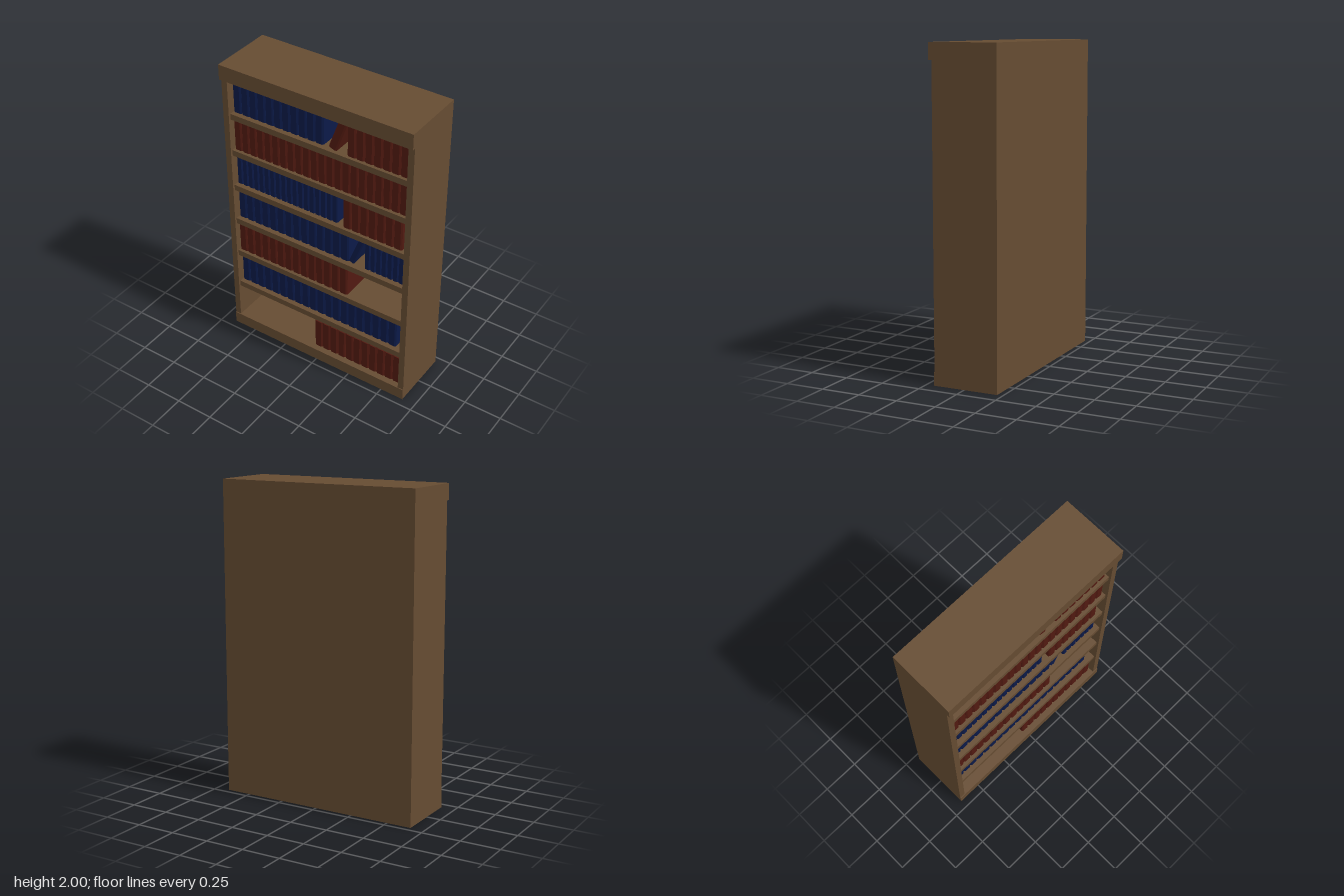
import * as THREE from 'three';

const wood = new THREE.MeshStandardMaterial({ color: 0x664c32 });
const red = new THREE.MeshStandardMaterial({ color: 0x521a11 });
const blue = new THREE.MeshStandardMaterial({ color: 0x0c1a48 });
const paper = new THREE.MeshStandardMaterial({ color: 0xcccccc });

const BOOK_H = 0.21, BOOK_D = 0.2, BOARD = 0.005;

// box given by its lower and upper corners
function board(name, x0, x1, y0, y1, z0, z1, material = wood) {
  const mesh = new THREE.Mesh(new THREE.BoxGeometry(x1 - x0, y1 - y0, z1 - z0), material);
  mesh.position.set((x0 + x1) / 2, (y0 + y1) / 2, (z0 + z1) / 2);
  mesh.name = name;
  return mesh;
}

// U-shaped cover with a chamfered spine around a page block; the spine's front is at z = 0
function makeBook(width, material) {
  const w = width / 2 - 0.0008, c = 0.008, t = BOARD;
  const outline = [
    [-w, -BOOK_D], [-w + t, -BOOK_D], [-w + t, -c - t], [w - t, -c - t], [w - t, -BOOK_D],
    [w, -BOOK_D], [w, -c], [w * 0.65, 0], [-w * 0.65, 0], [-w, -c],
  ].map(([x, z]) => new THREE.Vector2(x, -z));
  const coverGeo = new THREE.ExtrudeGeometry(new THREE.Shape(outline), { depth: BOOK_H, bevelEnabled: false });
  coverGeo.rotateX(-Math.PI / 2);
  const book = new THREE.Group();
  book.name = 'book';
  const cover = new THREE.Mesh(coverGeo, material);
  cover.name = 'cover';
  book.add(cover, board('pages', -w + t, w - t, 0.004, BOOK_H - 0.004, -BOOK_D + 0.006, -c - t, paper));
  return book;
}

function spineZ(material) {
  return material === red ? 0.16 : 0.148;
}

// upright books filling x0..x1
function bookRow(x0, x1, y, count, material) {
  const row = new THREE.Group();
  row.name = material === red ? 'redBookRow' : 'blueBookRow';
  const step = (x1 - x0) / count;
  for (let i = 0; i < count; i++) {
    const book = makeBook(step, material);
    book.position.set(x0 + (i + 0.5) * step, y, spineZ(material));
    row.add(book);
  }
  return row;
}

// book tilted about its lower corner, which rests on the shelf at x
function leaningBook(x, y, width, angle, material) {
  const pivot = new THREE.Group();
  pivot.name = 'leaningBook';
  const book = makeBook(width, material);
  book.position.x = -width / 2;
  pivot.add(book);
  pivot.position.set(x, y, spineZ(material));
  pivot.rotation.z = -angle;
  return pivot;
}

export function createModel() {
  const model = new THREE.Group();
  model.name = 'bookcase';

  // carcass
  model.add(
    board('rightSide', -0.66, -0.62, 0.08, 1.9, -0.215, 0.195),
    board('leftSide', 0.62, 0.66, 0.08, 1.9, -0.215, 0.195),
    board('back', -0.62, 0.62, 0.08, 1.9, -0.215, -0.175),
    board('base', -0.66, 0.66, 0, 0.08, -0.215, 0.2),
    board('cornice', -0.66, 0.66, 1.9, 2, -0.215, 0.215),
  );

  // shelves, 0.26 apart
  const shelfTop = (i) => (i === 0 ? 0.08 : 0.1 + 0.26 * i);
  for (let i = 1; i <= 6; i++) {
    model.add(board('shelf', -0.62, 0.62, shelfTop(i) - 0.04, shelfTop(i), -0.175, 0.18));
  }

  // rows of books: shelf, from x, to x, number of books, colour
  const rows = [
    [0, -0.037, 0.613, 11, red],
    [1, -0.62, 0.565, 20, blue],
    [2, -0.62, 0.21, 14, red],
    [3, -0.62, 0.21, 14, blue],
    [3, 0.323, 0.6, 7, blue],
    [4, -0.62, 0.13, 18, blue],
    [4, 0.175, 0.585, 7, red],
    [5, -0.616, 0.613, 22, red],
    [6, -0.62, 0.03, 11, blue],
    [6, 0.2, 0.613, 7, red],
  ];
  for (const [i, x0, x1, count, material] of rows) {
    model.add(bookRow(x0, x1, shelfTop(i), count, material));
  }

  // books leaning against their neighbours
  model.add(
    leaningBook(0.127, shelfTop(6), 0.058, 0.35, red),
    leaningBook(0.249, shelfTop(3), 0.04, 0.36, blue),
  );
  return model;
}
